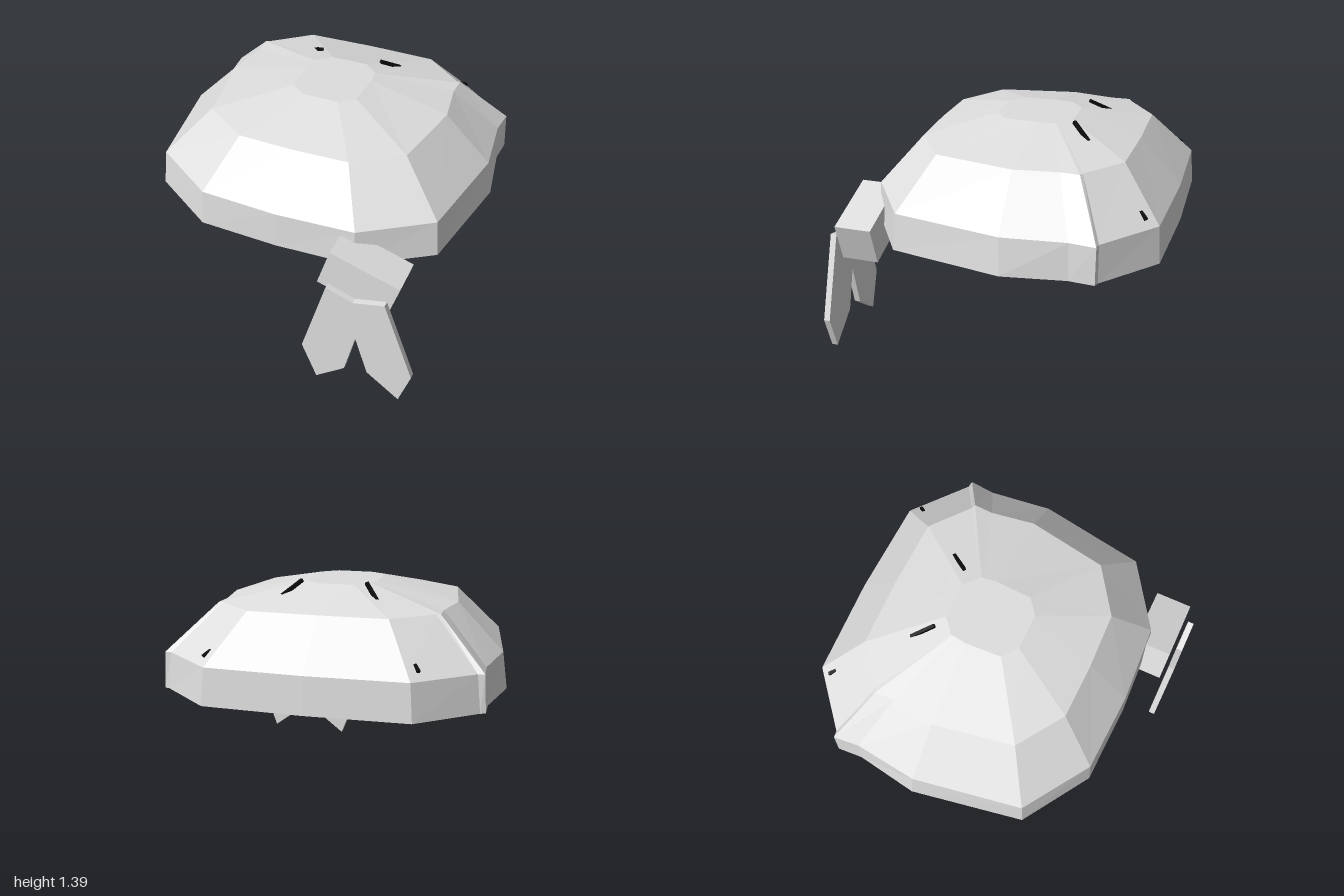
import * as THREE from 'three';

const cloth = new THREE.MeshStandardMaterial({ color: 0xdedede, flatShading: true });
cloth.name = 'pale grey cloth';
const black = new THREE.MeshStandardMaterial({ color: 0x0c0c0c, flatShading: true });
black.name = 'black pin';

// Half outlines [x, z] from front centre round to back centre, lowest first
const rings = [
  { y: 0.76, half: [[0, 0.79], [0.48, 0.77], [0.88, 0.51], [1.0, -0.16], [0.94, -0.53], [0.95, -0.68], [0.92, -0.69], [0.6, -0.965], [0, -0.985]] },
  { y: 0.98, half: [[0, 0.78], [0.47, 0.755], [0.86, 0.495], [0.97, -0.15], [0.925, -0.525], [0.94, -0.68], [0.9, -0.685], [0.585, -0.95], [0, -0.97]] },
  { y: 1.26, half: [[0, 0.53], [0.335, 0.52], [0.61, 0.335], [0.695, -0.14], [0.655, -0.4], [0.66, -0.515], [0.635, -0.525], [0.41, -0.71], [0, -0.72]] },
  { y: 1.365, half: [[0, 0.13], [0.11, 0.13], [0.2, 0.06], [0.21, -0.16], [0.2, -0.23], [0.2, -0.25], [0.19, -0.26], [0.11, -0.33], [0, -0.33]] },
];

// Faceted dome: mirrored rings joined in bands, closed at top and bottom
function domeGeometry() {
  const loops = rings.map(({ y, half }) => {
    const mirrored = half.slice(1, -1).reverse().map(([x, z]) => [-x, z]);
    return [...half, ...mirrored].map(([x, z]) => [x, y, z]);
  });
  const pos = [];
  const n = loops[0].length;
  const top = loops[loops.length - 1];
  for (let i = 0; i < n; i++) {
    const j = (i + 1) % n;
    for (let r = 0; r < loops.length - 1; r++) {
      const a = loops[r][i], b = loops[r][j], c = loops[r + 1][i], d = loops[r + 1][j];
      pos.push(...a, ...b, ...d, ...a, ...d, ...c);
    }
    pos.push(0, 1.365, -0.1, ...top[i], ...top[j]);
    pos.push(0, 0.76, -0.1, ...loops[0][j], ...loops[0][i]);
  }
  const g = new THREE.BufferGeometry();
  g.setAttribute('position', new THREE.Float32BufferAttribute(pos, 3));
  g.computeVertexNormals();
  return g;
}

export function createModel() {
  const model = new THREE.Group();
  model.name = 'bandana';
  const add = (name, geometry, material) => {
    const mesh = new THREE.Mesh(geometry, material);
    mesh.name = name;
    model.add(mesh);
    return mesh;
  };

  add('headCover', domeGeometry(), cloth);

  // Tilted knot at the front
  const knot = add('knot', new THREE.BoxGeometry(0.43, 0.25, 0.225), cloth);
  knot.position.set(0.555, 0.755, 0.803);
  knot.rotation.z = -0.307;

  // Forked tail hanging in front of the knot
  const outline = [[0.39, 0.737], [0.24, 0.23], [0.33, 0.003], [0.505, 0.14], [0.57, 0.41],
    [0.645, 0.165], [0.84, 0.02], [0.91, 0.23], [0.735, 0.725], [0.55, 0.68]];
  const shape = new THREE.Shape(outline.map(([x, y]) => new THREE.Vector2(x, y)));
  const tail = add('tail', new THREE.ExtrudeGeometry(shape, { depth: 0.037, bevelEnabled: false }), cloth);
  tail.position.z = 0.941;

  // Slim pins running under the back panel, showing at both ends
  for (const s of [1, -1]) {
    const from = new THREE.Vector3(s * 0.195, 1.385, -0.36);
    const to = new THREE.Vector3(s * 0.613, 1.022, -0.878);
    const pin = add(s > 0 ? 'leftPin' : 'rightPin',
      new THREE.BoxGeometry(0.02, 0.02, from.distanceTo(to)), black);
    pin.position.copy(from).lerp(to, 0.5);
    pin.lookAt(to);
  }
  return model;
}
